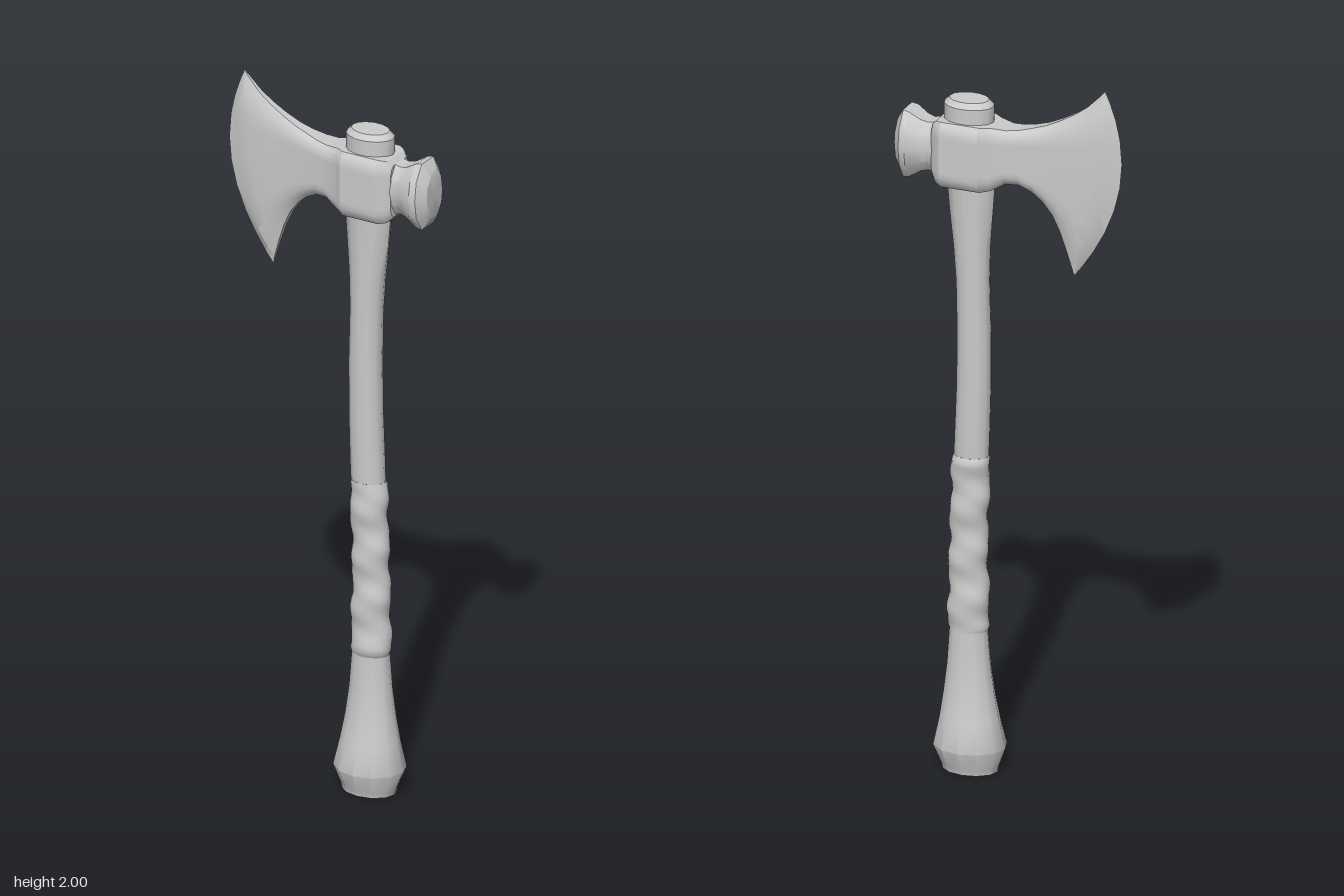
import * as THREE from 'three';
import { toCreasedNormals } from 'three/addons/utils/BufferGeometryUtils.js';

const material = new THREE.MeshStandardMaterial({ color: 0xcccccc });

// Skin a list of equal-length rings of [x, y, z], closing both ends.
function loft(name, rings, crease = 0.6) {
  const n = rings[0].length;
  const points = rings.flat();
  let index = [];
  for (let i = 0; i < rings.length - 1; i++) {
    for (let j = 0; j < n; j++) {
      const a = i * n + j, b = i * n + (j + 1) % n;
      index.push(a, b, a + n, b, b + n, a + n);
    }
  }
  [0, rings.length - 1].forEach((r, end) => {
    const mid = [0, 1, 2].map(k => rings[r].reduce((s, p) => s + p[k], 0) / n);
    const c = points.push(mid) - 1;
    for (let j = 0; j < n; j++) {
      const a = r * n + j, b = r * n + (j + 1) % n;
      index.push(...(end ? [c, a, b] : [c, b, a]));
    }
  });
  // Turn all faces outward if the enclosed volume is negative.
  const v = points.map(p => new THREE.Vector3(...p));
  let volume = 0;
  for (let i = 0; i < index.length; i += 3) {
    volume += v[index[i]].dot(v[index[i + 1]].clone().cross(v[index[i + 2]]));
  }
  if (volume < 0) index.reverse();
  let geometry = new THREE.BufferGeometry();
  geometry.setAttribute('position', new THREE.Float32BufferAttribute(points.flat(), 3));
  geometry.setIndex(index);
  geometry = toCreasedNormals(geometry, crease);
  const mesh = new THREE.Mesh(geometry, material);
  mesh.name = name;
  return mesh;
}

// Horizontal oval ring; bump(angle) swells it.
function oval(y, x0, x1, rz, sides, bump = () => 0) {
  return Array.from({ length: sides }, (_, i) => {
    const a = i / sides * Math.PI * 2, b = bump(a);
    return [(x0 + x1) / 2 + ((x1 - x0) / 2 + b) * Math.cos(a), y, (rz + b) * Math.sin(a)];
  });
}

// Curved shaft with a flared pommel: [y, left x, right x, half depth]
const shaft = [
  [0, 0.035, 0.192, 0.06], [0.015, 0.033, 0.195, 0.063], [0.07, 0.013, 0.217, 0.088],
  [0.15, 0.032, 0.2, 0.07], [0.22, 0.045, 0.19, 0.056], [0.3, 0.056, 0.18, 0.047],
  [0.4, 0.064, 0.173, 0.042], [0.65, 0.07, 0.168, 0.038], [0.85, 0.063, 0.162, 0.038],
  [0.95, 0.059, 0.158, 0.04], [1.1, 0.055, 0.152, 0.04], [1.25, 0.055, 0.15, 0.04],
  [1.4, 0.059, 0.153, 0.04], [1.5, 0.056, 0.161, 0.041], [1.6, 0.049, 0.173, 0.043],
  [1.72, 0.04, 0.184, 0.046],
];

// Width of the shaft at a given height
function shaftAt(y) {
  const i = shaft.findIndex(s => s[0] > y);
  const t = (y - shaft[i - 1][0]) / (shaft[i][0] - shaft[i - 1][0]);
  return shaft[i].map((b, k) => THREE.MathUtils.lerp(shaft[i - 1][k], b, t));
}

// Leather wrap: uneven helical folds around the shaft
function makeGrip() {
  const rings = [];
  for (let i = 0; i <= 40; i++) {
    const y = 0.4 + 0.5 * i / 40;
    const [, x0, x1, rz] = shaftAt(y);
    const fade = i === 0 || i === 40 ? 0 : 1;
    rings.push(oval(y, x0, x1, rz, 20, a => fade * (0.004
      + 0.003 * Math.sin(y * 46 + a) + 0.0015 * Math.sin(y * 83 - 2 * a))));
  }
  return loft('gripWrap', rings, 0.9);
}

// Socket and blade stations:
// [top x, top y, bottom x, bottom y, forward bulge, half thickness, rim thickness ratio]
const headStations = [
  [0.208, 1.845, 0.208, 1.695, 0, 0.046, 0.7],
  [0.195, 1.858, 0.195, 1.68, 0, 0.06, 0.75],
  [0.175, 1.862, 0.175, 1.677, 0, 0.072, 0.8],
  [0.065, 1.862, 0.065, 1.677, 0, 0.072, 0.8],
  [0.04, 1.86, 0.04, 1.68, 0, 0.055, 0.75],
  [0, 1.855, 0, 1.702, 0, 0.046, 0.65],
  [-0.035, 1.859, -0.035, 1.702, 0, 0.04, 0.6],
  [-0.07, 1.868, -0.07, 1.685, 0, 0.035, 0.5],
  [-0.11, 1.881, -0.1, 1.66, 0.005, 0.031, 0.45],
  [-0.15, 1.9, -0.127, 1.625, 0.02, 0.028, 0.4],
  [-0.19, 1.923, -0.148, 1.58, 0.04, 0.026, 0.35],
  [-0.225, 1.948, -0.165, 1.53, 0.05, 0.023, 0.3],
  [-0.262, 1.985, -0.18, 1.48, 0.056, 0.019, 0.2],
  [-0.275, 2, -0.185, 1.457, 0.087, 0, 0],
];

function makeHead() {
  const vs = [0, 0.06, 0.15, 0.25, 0.375, 0.5, 0.625, 0.75, 0.85, 0.94, 1];
  const rings = headStations.map(([tx, ty, bx, by, bulge, h, rim]) => {
    const side = sign => vs.map(v => {
      const near = Math.min(1, Math.min(v, 1 - v) / 0.15);
      const z = sign * h * (rim + (1 - rim) * Math.sin(near * Math.PI / 2));
      return [tx + (bx - tx) * v - bulge * 4 * v * (1 - v), ty + (by - ty) * v, z];
    });
    return [...side(1), ...side(-1).reverse()];
  });
  return loft('bladeAndSocket', rings, 0.5);
}

// Hammer poll: ten-sided section along x, [x, half height, half depth]
function makePoll() {
  const quarter = [[1, 0], [0.88, 0.55], [0.45, 1]];
  const section = [...quarter, ...quarter.slice(1).reverse().map(([z, y]) => [-z, y]), [-1, 0],
    ...quarter.slice(1).map(([z, y]) => [-z, -y]), ...quarter.slice(1).reverse().map(([z, y]) => [z, -y])];
  const stations = [[0.18, 0.08, 0.05], [0.205, 0.073, 0.049], [0.225, 0.068, 0.05], [0.245, 0.073, 0.057],
    [0.277, 0.092, 0.07], [0.295, 0.096, 0.066], [0.312, 0.07, 0.048], [0.317, 0.06, 0.04]];
  return loft('hammerPoll', stations.map(([x, ry, rz]) =>
    section.map(([z, y]) => [x, 1.773 + y * ry, z * rz])), 0.5);
}

export function createModel() {
  const axe = new THREE.Group();
  axe.name = 'axe';
  axe.add(
    loft('handle', shaft.map(([y, x0, x1, rz]) => oval(y, x0, x1, rz, 12)), 0.7),
    makeGrip(),
    makeHead(),
    makePoll(),
    // End of the handle showing above the socket
    loft('handleTop', [[1.84, 0.047, 0.187, 0.052], [1.905, 0.047, 0.187, 0.052], [1.92, 0.062, 0.172, 0.04]]
      .map(([y, x0, x1, rz]) => oval(y, x0, x1, rz, 14)), 0.6),
  );
  return axe;
}
